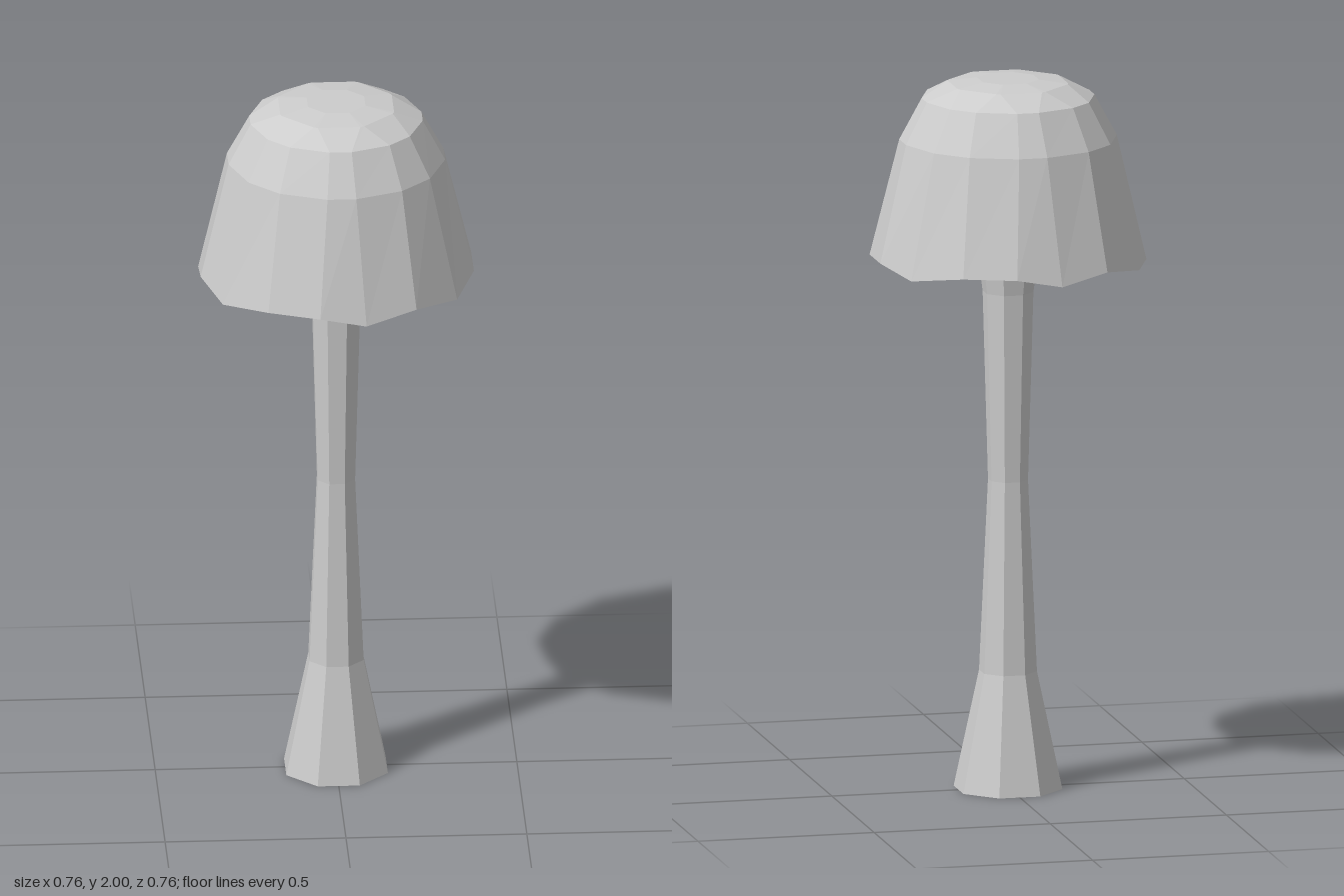
import * as THREE from 'three';

// Rise (1) or dip (0) of each rim point, counted from the front towards +x
const RIM = '0101101101001011';

// One ring of 16 points. a and b are the half angles (degrees) of the facets
// facing the axes and the diagonals; a = b = 22.5 merges the points to 8 corners.
function ring(r, y, a = 22.5, b = 22.5, wave = 0) {
  const points = [];
  for (let q = 0; q < 4; q++) {
    [a, 45 - b, 45 + b, 90 - a].forEach((deg, j) => {
      const t = THREE.MathUtils.degToRad(q * 90 + deg);
      const dy = RIM[q * 4 + j] === '1' ? wave : -wave;
      points.push(new THREE.Vector3(r * Math.sin(t), y + dy, r * Math.cos(t)));
    });
  }
  return points;
}

// Joins consecutive rings with faceted bands, skipping collapsed triangles.
function loft(rings) {
  const pos = [];
  const tri = (p, q, s) => {
    const area = q.clone().sub(p).cross(s.clone().sub(p)).length();
    if (area > 1e-7) pos.push(...p.toArray(), ...q.toArray(), ...s.toArray());
  };
  for (let k = 0; k < rings.length - 1; k++) {
    const lo = rings[k], hi = rings[k + 1];
    for (let i = 0; i < 16; i++) {
      const n = (i + 1) % 16;
      tri(lo[i], lo[n], hi[n]);
      tri(lo[i], hi[n], hi[i]);
    }
  }
  const geometry = new THREE.BufferGeometry();
  geometry.setAttribute('position', new THREE.Float32BufferAttribute(pos, 3));
  geometry.computeVertexNormals();
  return geometry;
}

export function createModel() {
  const group = new THREE.Group();
  group.name = 'mushroom';
  const grey = new THREE.MeshStandardMaterial({ color: 0xcccccc, flatShading: true });
  grey.name = 'pale grey';

  // Eight-sided stem, flared at the foot and under the cap
  const stem = new THREE.Mesh(loft([
    ring(0, 0), ring(0.152, 0), ring(0.081, 0.33), ring(0.056, 0.87),
    ring(0.071, 1.4), ring(0.085, 1.5), ring(0.118, 1.73),
  ]), grey);
  stem.name = 'stem';

  // Cap: conical underside, wavy rim, steep sides and rounded crown
  const cap = new THREE.Mesh(loft([
    ring(0.118, 1.73),
    ring(0.383, 1.497, 9.6, 12.7, 0.012),
    ring(0.302, 1.835, 7.6, 11),
    ring(0.24, 1.95, 7.3, 10),
    ring(0.168, 1.99, 20.5, 20.5), ring(0.086, 2), ring(0, 2),
  ]), grey);
  cap.name = 'cap';

  group.add(stem, cap);
  return group;
}
